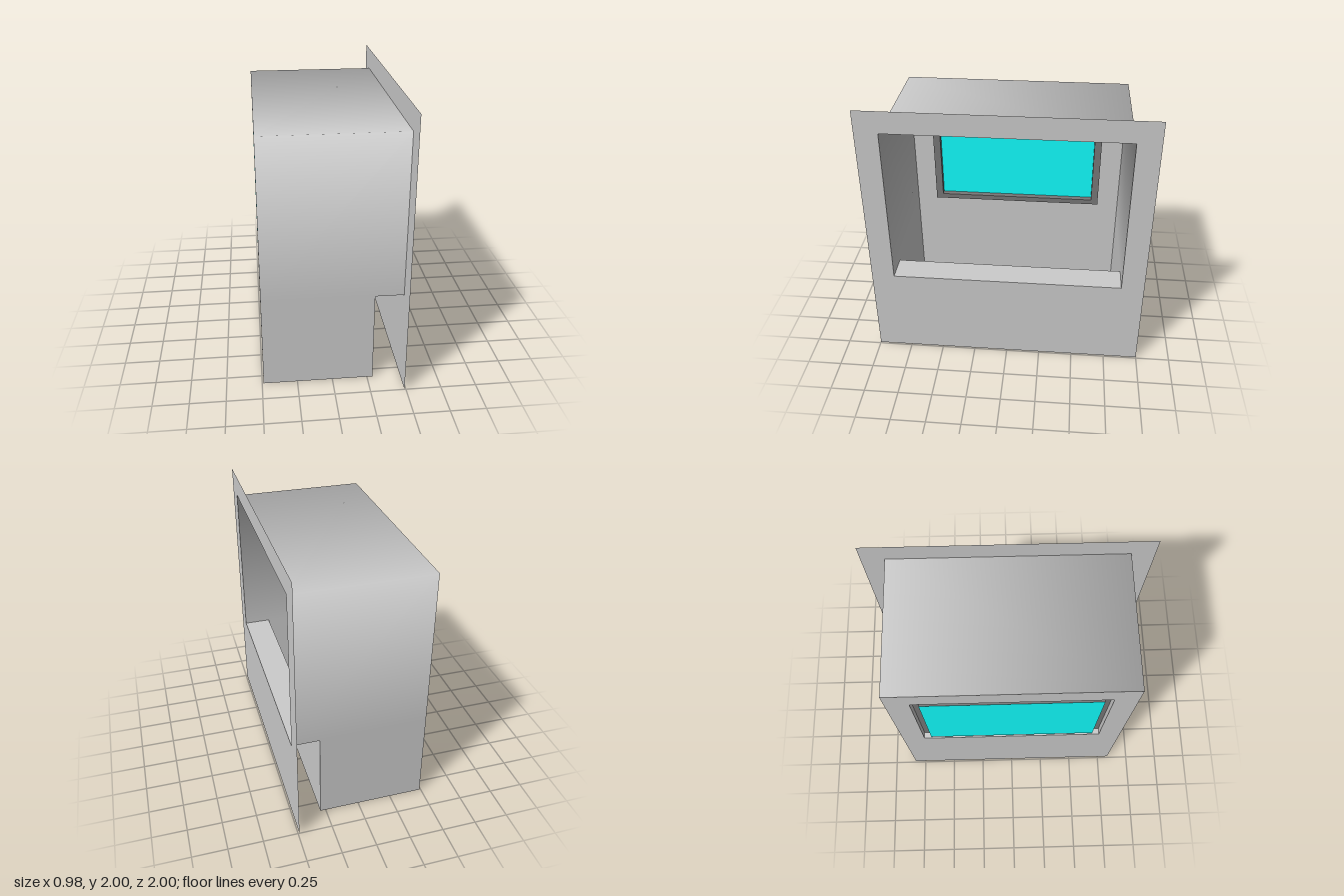
import * as THREE from 'three';
import { mergeGeometries } from 'three/addons/utils/BufferGeometryUtils.js';

const BACK = -0.49, STEP = 0.29, FRONT = 0.49; // x of rear wall, lower front wall, flange
const HALF = 0.835, LEDGE = 0.67, TOP = 1.84;  // body half width, ledge and roof heights
const DEPTH = 0.045;                           // how far the window frame reaches inward
const OPENING = [0.67, 0.79, 1.67];            // half width, bottom, top
const PANE = [0.615, 0.83, 1.63];

const material = (color) => new THREE.MeshStandardMaterial({ color, side: THREE.DoubleSide });

function rectPath(path, [half, y0, y1]) {
  path.moveTo(-half, y0);
  path.lineTo(half, y0);
  path.lineTo(half, y1);
  path.lineTo(-half, y1);
  path.closePath();
  return path;
}

// Upright sheet facing along x (dir is 1 or -1), with an optional rectangular hole
function sheet(x, dir, outer, hole) {
  const shape = rectPath(new THREE.Shape(), outer);
  if (hole) shape.holes.push(rectPath(new THREE.Path(), hole));
  return new THREE.ShapeGeometry(shape).rotateY(dir * Math.PI / 2).translate(x, 0, 0);
}

// Horizontal sheet facing up
function flat(y, x0, x1, half) {
  return new THREE.PlaneGeometry(x1 - x0, half * 2).rotateX(-Math.PI / 2).translate((x0 + x1) / 2, y, 0);
}

// Upright sheet facing along z
function side(z, x0, x1, y0, y1) {
  return new THREE.PlaneGeometry(x1 - x0, y1 - y0)
    .rotateY(z < 0 ? Math.PI : 0)
    .translate((x0 + x1) / 2, (y0 + y1) / 2, z);
}

// Four-sided sleeve running along x
function sleeve([half, y0, y1], x0, x1) {
  return mergeGeometries([
    flat(y0, x0, x1, half), flat(y1, x0, x1, half),
    side(-half, x0, x1, y0, y1), side(half, x0, x1, y0, y1),
  ]);
}

// Upper sides and roof as one sheet, shaded softly over the top corners
function hoodGeometry() {
  const d = Math.SQRT1_2;
  const section = [ // z, y, normal z, normal y
    [HALF, LEDGE, 1, 0], [HALF, TOP, d, d], [-HALF, TOP, -d, d], [-HALF, LEDGE, -1, 0],
  ];
  const positions = [], normals = [], index = [];
  section.forEach(([z, y, nz, ny], i) => {
    for (const x of [BACK, FRONT]) {
      positions.push(x, y, z);
      normals.push(0, ny, nz);
    }
    const a = i * 2;
    if (i < 3) index.push(a, a + 1, a + 3, a, a + 3, a + 2);
  });
  const g = new THREE.BufferGeometry();
  g.setAttribute('position', new THREE.Float32BufferAttribute(positions, 3));
  g.setAttribute('normal', new THREE.Float32BufferAttribute(normals, 3));
  g.setIndex(index);
  return g;
}

export function createModel() {
  const group = new THREE.Group();
  const grey = material(0xcccccc), dark = material(0x777777), cyan = material(0x11ffff);
  const add = (name, geometry, mat = grey) => {
    const mesh = new THREE.Mesh(geometry, mat);
    mesh.name = name;
    group.add(mesh);
  };

  // Hollow body
  add('hood', hoodGeometry());
  for (const s of [1, -1]) {
    add(s > 0 ? 'lowerLeftSide' : 'lowerRightSide', side(s * HALF, BACK, STEP, 0, LEDGE));
  }
  add('floor', flat(0, BACK, STEP, HALF));
  add('lowerWall', sheet(STEP, 1, [HALF, 0, LEDGE]));
  add('ledge', flat(LEDGE, STEP, FRONT, HALF));
  add('windowWall', sheet(BACK, -1, [HALF, 0, TOP], OPENING));

  // Wide flange around the open side
  add('flange', sheet(FRONT, 1, [1, 0, 2], [HALF, LEDGE, TOP]));

  // Window: reveal, channel frame and coloured pane
  add('windowReveal', sleeve(OPENING, BACK, BACK + DEPTH));
  add('windowFrame', mergeGeometries([
    sheet(BACK + DEPTH, 1, OPENING, PANE),
    sleeve(PANE, BACK, BACK + DEPTH),
  ]), dark);
  add('windowPane', sheet(BACK, -1, PANE), cyan);
  return group;
}
